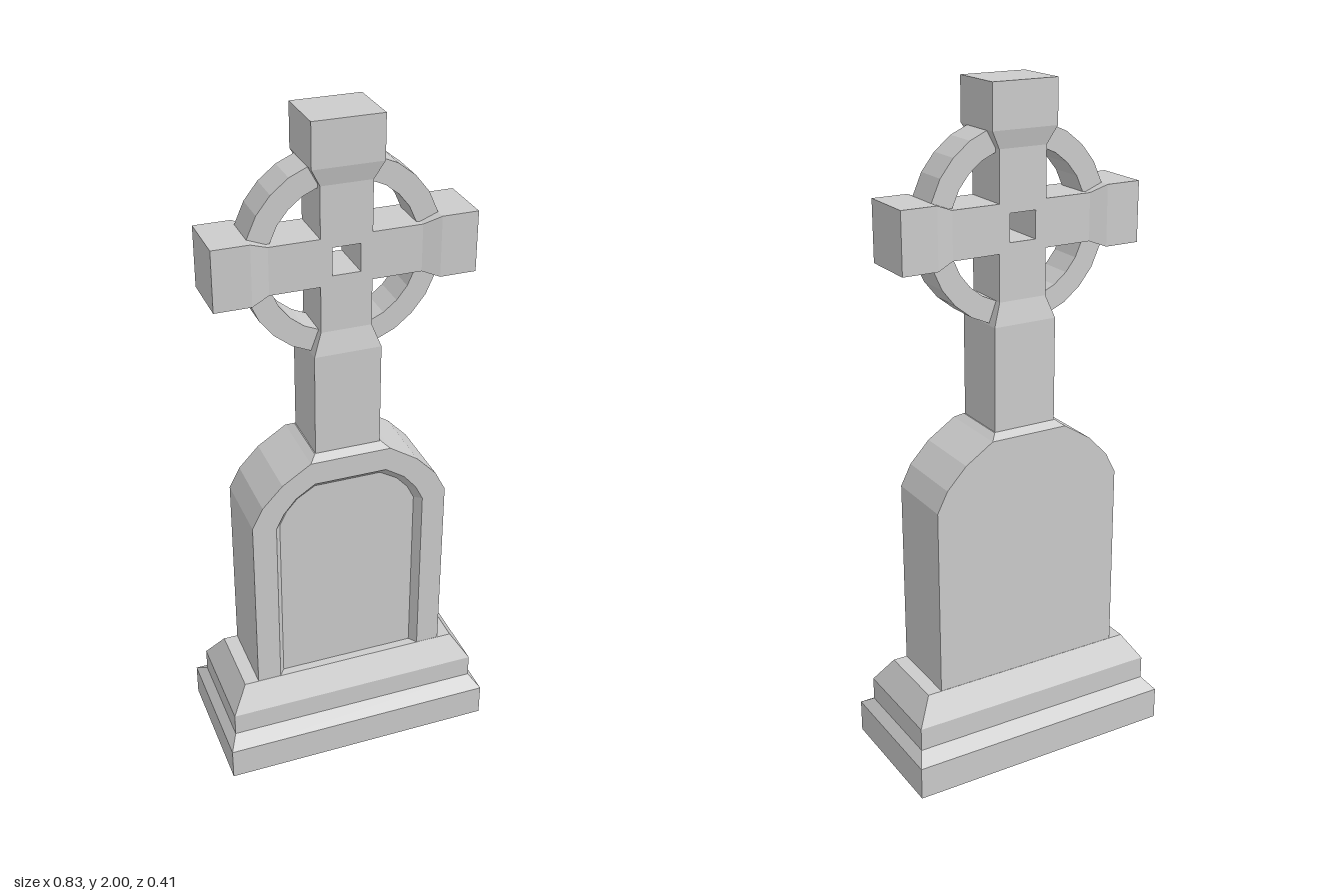
import * as THREE from 'three';

const material = new THREE.MeshStandardMaterial({ color: 0xcccccc, flatShading: true, side: THREE.DoubleSide });

function addMesh(parent, name, geometry) {
  const mesh = new THREE.Mesh(geometry, material);
  mesh.name = name;
  parent.add(mesh);
  return mesh;
}

// Skin a list of equal-length cross-sections ([x, y, z] points) with flat faces.
function skin(rings, { closed = true, capStart = false, capEnd = false } = {}) {
  const out = [];
  const n = rings[0].length;
  const tri = (a, b, c) => out.push(...a, ...b, ...c);
  for (let i = 0; i < rings.length - 1; i++) {
    for (let j = 0; j < (closed ? n : n - 1); j++) {
      const k = (j + 1) % n;
      const [a, b, c, d] = [rings[i][j], rings[i][k], rings[i + 1][k], rings[i + 1][j]];
      tri(a, b, c);
      tri(a, c, d);
    }
  }
  const first = rings[0], last = rings[rings.length - 1];
  for (let j = 1; j < n - 1; j++) {
    if (capStart) tri(first[0], first[j + 1], first[j]);
    if (capEnd) tri(last[0], last[j], last[j + 1]);
  }
  const geometry = new THREE.BufferGeometry();
  geometry.setAttribute('position', new THREE.Float32BufferAttribute(out, 3));
  geometry.computeVertexNormals();
  return geometry;
}

// Stack of rectangles given as [height, halfWidth, halfDepth].
const tower = (sections, options) => skin(
  sections.map(([y, w, d]) => [[w, y, d], [w, y, -d], [-w, y, -d], [-w, y, d]]), options);

// Mirror the right half of an arch and place it at depth z.
const arch = (half, z) => [
  ...half.map(([x, y]) => [x, y, z]),
  ...[...half].reverse().map(([x, y]) => [-x, y, z]),
];

export function createModel() {
  const model = new THREE.Group();
  model.name = 'gravestone';

  // Stepped plinth, hollow underneath
  addMesh(model, 'plinth', tower([
    [0, 0.415, 0.205], [0.1, 0.415, 0.205], [0.13, 0.39, 0.16],
    [0.2, 0.39, 0.16], [0.275, 0.34, 0.114],
  ], { capEnd: true }));

  // Arched tablet with a recessed front panel
  const outer = [[0.297, 0.275], [0.297, 0.845], [0.265, 0.907], [0.205, 0.97], [0.12, 1.025]];
  const opening = [[0.226, 0.275], [0.226, 0.827], [0.203, 0.873], [0.165, 0.918], [0.108, 0.955]];
  const panel = [[0.208, 0.275], [0.208, 0.82], [0.187, 0.862], [0.153, 0.9], [0.1, 0.932]];
  addMesh(model, 'tablet', skin(
    [arch(outer, -0.113), arch(outer, 0.113), arch(opening, 0.113), arch(panel, 0.088)],
    { closed: false, capStart: true, capEnd: true }));
  addMesh(model, 'tabletCrown', tower([[1.025, 0.12, 0.113], [1.04, 0.1, 0.09]], { capEnd: true }));

  // Neck narrowing into the cross
  addMesh(model, 'neck', tower([[1.04, 0.097, 0.087], [1.345, 0.097, 0.087], [1.41, 0.073, 0.073]]));

  const cross = new THREE.Group();
  cross.name = 'cross';
  cross.position.y = 1.6125;
  model.add(cross);

  // Cross core with a square hole through the middle
  const w = 0.073, h = 0.068, arm = 0.215, top = 0.2125, low = -0.2025;
  const toPoints = (list) => list.map(([x, y]) => new THREE.Vector2(x, y));
  const core = new THREE.Shape(toPoints([
    [w, low], [w, -h], [arm, -h], [arm, h], [w, h], [w, top],
    [-w, top], [-w, h], [-arm, h], [-arm, -h], [-w, -h], [-w, low],
  ]));
  core.holes.push(new THREE.Path(toPoints([[-0.04, -0.04], [-0.04, 0.04], [0.04, 0.04], [0.04, -0.04]])));
  addMesh(cross, 'crossCore', new THREE.ExtrudeGeometry(core, { depth: 0.146, bevelEnabled: false })
    .translate(0, 0, -0.073));

  // Flared ends of the arms
  addMesh(cross, 'topEnd', tower(
    [[top, w, 0.073], [0.2625, 0.1, 0.085], [0.3875, 0.1, 0.085]], { capEnd: true }));
  for (const side of [1, -1]) {
    const end = addMesh(cross, side > 0 ? 'leftEnd' : 'rightEnd', tower(
      [[arm, h, 0.073], [0.265, 0.0875, 0.085], [0.37, 0.0875, 0.085]], { capEnd: true }));
    end.rotation.z = -side * Math.PI / 2;
  }

  // Ring quarters between the arms
  const angles = [16, 32, 45, 58, 74].map(THREE.MathUtils.degToRad);
  const ringSections = angles.map((a) => [[0.281, 0.053], [0.281, -0.053], [0.216, -0.053], [0.216, 0.053]]
    .map(([r, z]) => [r * Math.cos(a), r * Math.sin(a), z]).reverse());
  for (let i = 0; i < 4; i++) {
    const quarter = addMesh(cross, 'ringQuarter', skin(ringSections, { capStart: true, capEnd: true }));
    quarter.rotation.z = i * Math.PI / 2;
  }

  return model;
}
